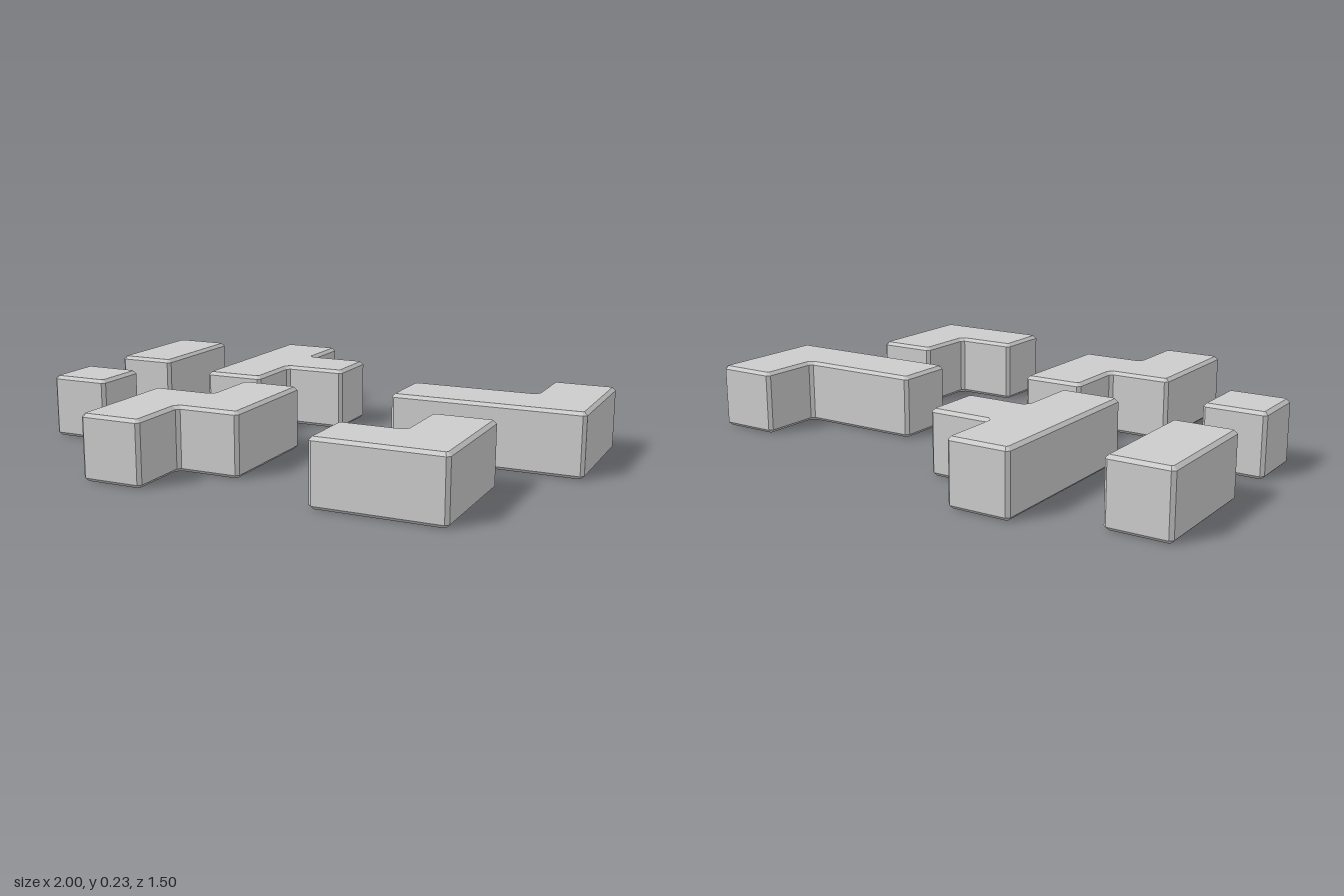
import * as THREE from 'three';

const HEIGHT = 0.235;
const BEVEL = 0.012;

// Outlines seen from above, as [x, z] corners
const PIECES = {
  singleBlock: [[-1, 0.04], [-0.77, 0.04], [-0.77, 0.27], [-1, 0.27]],
  doubleBlock: [[-1, -0.655], [-0.77, -0.655], [-0.77, -0.19], [-1, -0.19]],
  teeBlock: [
    [-0.505, -0.755], [-0.275, -0.755], [-0.275, -0.52], [-0.04, -0.52],
    [-0.04, -0.29], [-0.275, -0.29], [-0.275, -0.05], [-0.505, -0.05],
  ],
  zigzagBlock: [
    [-0.29, 0.045], [-0.06, 0.045], [-0.06, 0.51], [-0.295, 0.51],
    [-0.295, 0.75], [-0.525, 0.75], [-0.525, 0.28], [-0.29, 0.28],
  ],
  longCornerBlock: [
    [0.765, -0.45], [1, -0.45], [1, 0.02], [0.295, 0.02],
    [0.295, -0.215], [0.765, -0.215],
  ],
  shortCornerBlock: [
    [0.53, 0.235], [0.76, 0.235], [0.76, 0.705], [0.295, 0.705],
    [0.295, 0.475], [0.53, 0.475],
  ],
};

// Cut every corner of an outline with a small chamfer
function chamferedShape(corners) {
  const points = corners.map(([x, z]) => new THREE.Vector2(x, z));
  const n = points.length;
  const cut = [];
  points.forEach((p, i) => {
    for (const q of [points[(i + n - 1) % n], points[(i + 1) % n]]) {
      cut.push(q.clone().sub(p).setLength(BEVEL).add(p));
    }
  });
  return new THREE.Shape(cut);
}

// Extrude an outline into a block with bevelled top and bottom edges
function block(name, corners, material) {
  const geometry = new THREE.ExtrudeGeometry(chamferedShape(corners), {
    depth: HEIGHT - 2 * BEVEL,
    bevelEnabled: true,
    bevelThickness: BEVEL,
    bevelSize: BEVEL,
    bevelOffset: -BEVEL,
    bevelSegments: 1,
  });
  geometry.rotateX(Math.PI / 2);
  geometry.translate(0, HEIGHT - BEVEL, 0);
  const mesh = new THREE.Mesh(geometry, material);
  mesh.name = name;
  return mesh;
}

export function createModel() {
  const group = new THREE.Group();
  group.name = 'puzzleBlocks';
  const material = new THREE.MeshStandardMaterial({ color: 0xcccccc, flatShading: true });
  for (const [name, corners] of Object.entries(PIECES)) {
    group.add(block(name, corners, material));
  }
  return group;
}
